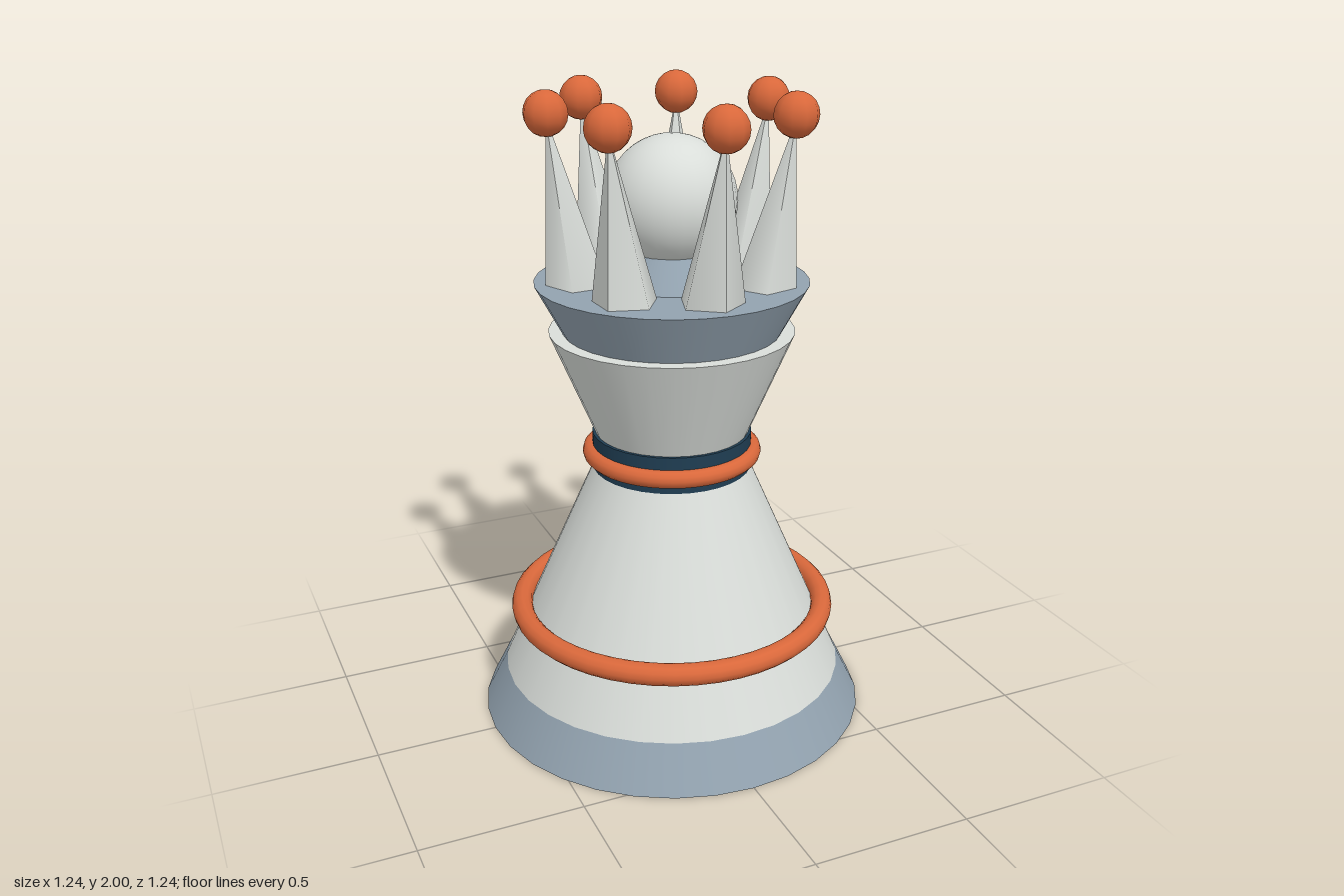
import * as THREE from 'three';

const mat = (name, color) => Object.assign(new THREE.MeshStandardMaterial({ color }), { name });

export function createModel() {
  const ivory = mat('ivory', 0xd9ddd9);
  const slate = mat('slate', 0x92a2af);
  const copper = mat('copper', 0xd9683b);
  const navy = mat('navy', 0x1f3d52);

  const model = new THREE.Group();
  model.name = 'chessQueen';

  const add = (name, geometry, material, parent = model) => {
    const mesh = new THREE.Mesh(geometry, material);
    mesh.name = name;
    parent.add(mesh);
    return mesh;
  };

  // Round tapered section between two heights
  const section = (name, material, y0, r0, y1, r1) => {
    const mesh = add(name, new THREE.CylinderGeometry(r1, r0, y1 - y0, 32), material);
    mesh.position.y = (y0 + y1) / 2;
  };

  // Horizontal ring
  const ring = (name, y, radius, tube) => {
    const geometry = new THREE.TorusGeometry(radius, tube, 12, 48).rotateX(Math.PI / 2);
    add(name, geometry, copper).position.y = y;
  };

  // Base, body, collar and head
  section('base', slate, 0, 0.62, 0.143, 0.548);
  section('body', ivory, 0.143, 0.548, 0.825, 0.248);
  ring('bodyRing', 0.345, 0.49, 0.034);
  section('collar', navy, 0.825, 0.25, 0.942, 0.25);
  ring('collarRing', 0.875, 0.253, 0.028);
  section('head', ivory, 0.942, 0.24, 1.27, 0.378);
  section('crownRim', slate, 1.27, 0.335, 1.425, 0.418);

  // Central ball on its pedestal
  section('pedestal', slate, 1.425, 0.198, 1.52, 0.125);
  add('centreBall', new THREE.SphereGeometry(0.197, 28, 20), ivory).position.y = 1.668;

  // Crown points: five-sided cones leaning outward, each with a bead on its tip
  const height = 0.5, baseR = 0.283, tipR = 0.367;
  const spike = new THREE.ConeGeometry(0.099, height, 5).translate(0, height / 2, 0);
  const p = spike.attributes.position;
  for (let i = 0; i < p.count; i++) {
    p.setZ(i, p.getZ(i) + baseR + (tipR - baseR) * p.getY(i) / height);
  }
  spike.computeVertexNormals();
  const bead = new THREE.SphereGeometry(0.067, 10, 10);

  for (let i = 0; i < 7; i++) {
    const point = new THREE.Group();
    point.name = 'crownPoint' + (i + 1);
    point.rotation.y = (i / 7) * Math.PI * 2;
    add('spike', spike, ivory, point).position.y = 1.425;
    add('bead', bead, copper, point).position.set(0, 1.933, tipR);
    model.add(point);
  }

  return model;
}
